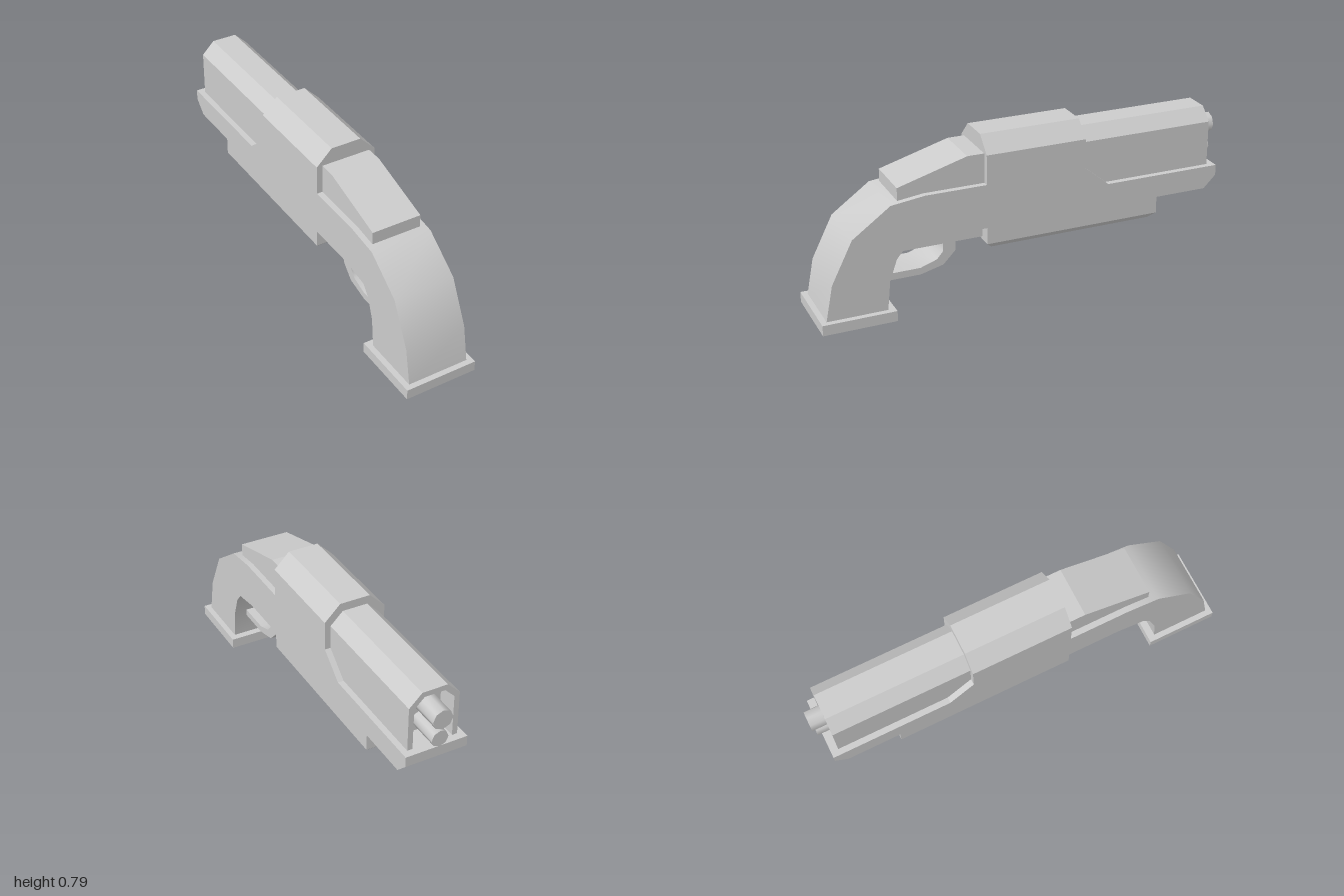
import * as THREE from 'three';
import { toCreasedNormals } from 'three/addons/utils/BufferGeometryUtils.js';

const grey = new THREE.MeshStandardMaterial({ color: 0xcccccc });

export function createModel() {
  const model = new THREE.Group();

  const add = (name, geometry, crease = 0.75) => {
    const mesh = new THREE.Mesh(toCreasedNormals(geometry, crease), grey);
    mesh.name = name;
    model.add(mesh);
    return mesh;
  };
  const toShape = (points) => new THREE.Shape(points.map(([a, b]) => new THREE.Vector2(a, b)));

  // Side profile of [z, y] points, extruded evenly to both sides of x = 0
  const sideProfile = (halfWidth, points) => {
    const g = new THREE.ExtrudeGeometry(toShape(points), { depth: 2 * halfWidth, bevelEnabled: false });
    return g.translate(0, 0, -halfWidth).rotateY(-Math.PI / 2);
  };
  // Cross-section of [x, y] points, extruded from z0 to z1
  const crossSection = (z0, z1, points, hole) => {
    const shape = toShape(points);
    if (hole) shape.holes.push(toShape(hole));
    const g = new THREE.ExtrudeGeometry(shape, { depth: z1 - z0, bevelEnabled: false });
    return g.translate(0, 0, z0);
  };
  // Upright section with both top corners cut off
  const roofed = (w, topW, y0, y1, y2) => [[-w, y0], [w, y0], [w, y1], [topW, y2], [-topW, y2], [-w, y1]];

  // Grip with its butt plate
  add('grip', sideProfile(0.148, [
    [0.975, 0.04], [0.94, 0.22], [0.84, 0.42], [0.66, 0.55], [0.5, 0.57], [0.21, 0.57],
    [0.21, 0.36], [0.46, 0.36], [0.6, 0.338], [0.64, 0.29], [0.675, 0.19], [0.69, 0.04],
  ]));
  add('buttPlate', new THREE.BoxGeometry(0.35, 0.05, 0.345).translate(0, 0.025, 0.8275));

  // Sloping hump behind the receiver
  add('rearHump', sideProfile(0.12, [[0.62, 0.54], [0.62, 0.615], [0.29, 0.71], [0.2, 0.71], [0.2, 0.54]]), 0.1);

  // Receiver side with the long lower deck, and the bevelled roof above it
  add('receiver', sideProfile(0.148, [
    [0.21, 0.71], [-0.273, 0.71], [-0.273, 0.57], [-0.393, 0.47], [-0.965, 0.47], [-0.965, 0.42],
    [-0.905, 0.36], [-0.65, 0.36], [-0.65, 0.28], [0.21, 0.28],
  ]), 0.1);
  add('receiverRoof', crossSection(-0.273, 0.21, roofed(0.148, 0.073, 0.7, 0.71, 0.785)), 0.1);

  // Underside plate, tapering inwards at the bottom
  const plate = new THREE.BoxGeometry(0.296, 0.03, 0.86);
  const p = plate.attributes.position;
  for (let i = 0; i < p.count; i++) {
    if (p.getY(i) < 0) {
      p.setX(i, p.getX(i) - Math.sign(p.getX(i)) * 0.03);
      p.setZ(i, p.getZ(i) - Math.sign(p.getZ(i)) * 0.03);
    }
  }
  add('undersidePlate', plate.translate(0, 0.265, -0.22), 0.1);

  // Barrel shroud, solid behind and open at the muzzle
  const outer = roofed(0.12, 0.06, 0.46, 0.685, 0.745);
  const inner = roofed(0.095, 0.048, 0.47, 0.673, 0.72);
  add('shroud', crossSection(-0.83, -0.2, outer), 0.1);
  add('shroudMouth', crossSection(-0.93, -0.83, outer, inner), 0.1);

  // Two stacked barrels
  [['upperBarrel', 0.635, 0.048, -1.0], ['lowerBarrel', 0.527, 0.04, -0.985]].forEach(([name, y, r, end]) => {
    const length = end + 0.8;
    const barrel = new THREE.CylinderGeometry(r, r, -length, 8).rotateX(Math.PI / 2);
    add(name, barrel.translate(0, y, end - length / 2), 0.9);
  });

  // Narrow block under the grip neck, and the guard hanging from it
  add('triggerBlock', new THREE.BoxGeometry(0.18, 0.075, 0.45).translate(0, 0.3325, 0.425));
  add('triggerGuard', sideProfile(0.085, [
    [0.34, 0.3], [0.34, 0.25], [0.4, 0.188], [0.51, 0.16], [0.69, 0.16], [0.69, 0.193],
    [0.51, 0.193], [0.43, 0.22], [0.4, 0.255], [0.4, 0.3],
  ]), 0.9);

  return model;
}
